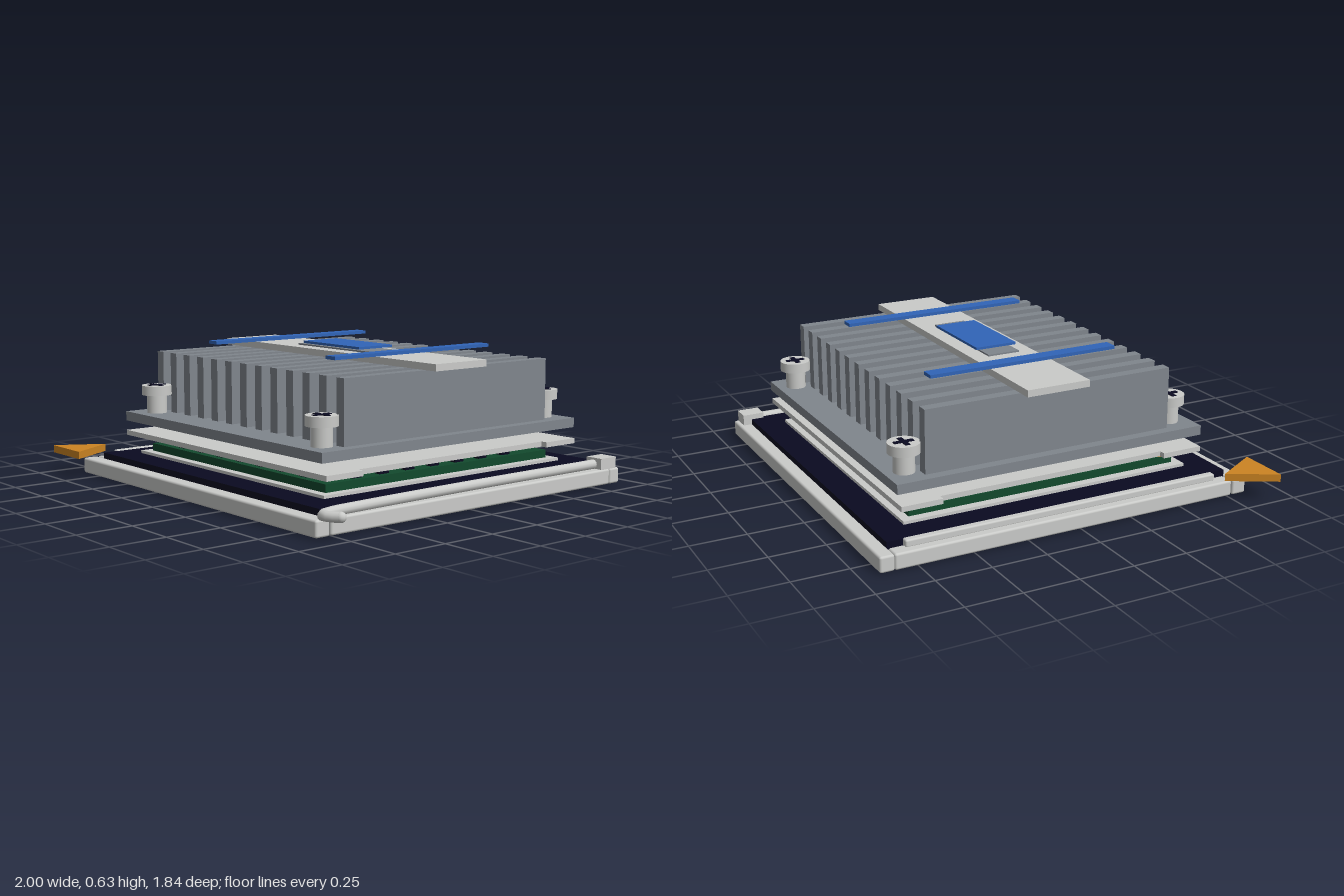
import * as THREE from 'three';
import { RoundedBoxGeometry } from 'three/addons/geometries/RoundedBoxGeometry.js';

const mat = (name, color) => Object.assign(new THREE.MeshStandardMaterial({ color }), { name });

export function createModel() {
  const metal = mat('light metal', 0xcacbc9);
  const grey = mat('heatsink grey', 0x80868d);
  const navy = mat('socket navy', 0x0a0a20);
  const green = mat('board green', 0x12492d);
  const orange = mat('marker orange', 0xcc8422);
  const blue = mat('label blue', 0x3165b8);

  const model = new THREE.Group();
  const add = (name, geometry, material, x = 0, y = 0, z = 0, parent = model) => {
    const mesh = new THREE.Mesh(geometry, material);
    mesh.name = name;
    mesh.position.set(x, y, z);
    parent.add(mesh);
    return mesh;
  };
  // Box given by its limits on each axis
  const box = (name, material, x0, x1, y0, y1, z0, z1, radius = 0) => {
    const size = [x1 - x0, y1 - y0, z1 - z0];
    const geometry = radius ? new RoundedBoxGeometry(...size, 2, radius) : new THREE.BoxGeometry(...size);
    return add(name, geometry, material, (x0 + x1) / 2, (y0 + y1) / 2, (z0 + z1) / 2);
  };
  // Flat triangle pointing to the back
  const triangle = (name, x0, x1, zFront, zBack, y, thickness) => {
    const shape = new THREE.Shape();
    shape.moveTo(x0, -zFront);
    shape.lineTo(x1, -zFront);
    shape.lineTo((x0 + x1) / 2, -zBack);
    const geometry = new THREE.ExtrudeGeometry(shape, { depth: thickness, bevelEnabled: false });
    add(name, geometry.rotateX(-Math.PI / 2), orange, 0, y, 0);
  };

  // Socket and surrounding frame
  box('socketBase', navy, -0.79, 0.83, 0, 0.1, -0.86, 0.77);
  box('frameBack', metal, -0.86, 0.9, 0.004, 0.075, -0.92, -0.855, 0.01);
  box('frameFront', metal, -0.86, 0.9, 0.004, 0.075, 0.77, 0.84, 0.01);
  box('frameLeft', metal, 0.83, 0.9, 0.004, 0.075, -0.855, 0.765, 0.01);
  box('frameRight', metal, -0.86, -0.79, 0.004, 0.075, -0.855, 0.765, 0.01);
  box('hingeRail', metal, -0.82, -0.785, 0.07, 0.104, -0.79, 0.7, 0.008);

  // Locking lever
  box('leverPivot', metal, 0.81, 0.895, 0.07, 0.125, -0.9, -0.8);
  const leverPath = new THREE.CatmullRomCurve3([
    [0.848, 0.095, -0.82], [0.852, 0.095, 0], [0.864, 0.093, 0.6], [0.872, 0.092, 0.74],
    [0.9, 0.092, 0.808], [0.94, 0.092, 0.8], [0.975, 0.093, 0.78],
  ].map(p => new THREE.Vector3(...p)));
  add('leverRod', new THREE.TubeGeometry(leverPath, 64, 0.022, 12), metal);
  add('leverTip', new THREE.SphereGeometry(0.022, 12, 8), metal, 0.976, 0.093, 0.78);
  triangle('socketCornerMarker', -1, -0.76, 0.92, 0.71, 0.09, 0.034);

  // Processor package
  box('packageSeat', metal, -0.67, 0.7, 0.1, 0.113, -0.73, 0.64);
  box('circuitBoard', green, -0.63, 0.66, 0.113, 0.148, -0.69, 0.6);
  box('heatSpreader', grey, -0.54, 0.58, 0.148, 0.184, -0.6, 0.51);
  triangle('packageCornerMarker', -0.64, -0.48, 0.555, 0.415, 0.148, 0.018);
  for (let i = 0; i < 7; i++) {
    const x = -0.43 + i * 0.15, z = 0.41 - i * 0.144;
    for (const cz of [-0.645, 0.555]) {
      add('capacitor', new THREE.BoxGeometry(0.05, 0.014, 0.03), navy, x, 0.155, cz);
    }
    for (const cx of [-0.585, 0.62]) {
      add('capacitor', new THREE.BoxGeometry(0.03, 0.014, 0.05), navy, cx, 0.155, z);
    }
  }

  // Retention bracket with tabs at the corners
  box('bracketFront', metal, -0.73, 0.765, 0.184, 0.207, 0.49, 0.68);
  box('bracketBack', metal, -0.73, 0.765, 0.184, 0.207, -0.765, -0.58);
  box('bracketPlate', metal, -0.7, 0.735, 0.184, 0.207, -0.58, 0.49);
  box('lowerContactPlate', metal, -0.475, 0.51, 0.207, 0.23, -0.53, 0.45);
  box('upperContactPlate', metal, -0.493, 0.527, 0.23, 0.255, -0.55, 0.47);

  // Heatsink
  box('heatsinkBase', grey, -0.715, 0.75, 0.255, 0.298, -0.775, 0.69);
  for (let i = 0; i < 13; i++) {
    const x = -0.645 + i * 0.1104;
    box('fin', grey, x - 0.024, x + 0.024, 0.298, 0.575, -0.63, 0.54);
  }

  // Strap and labels on top
  box('strap', metal, -0.73, 0.765, 0.575, 0.605, -0.195, 0.1);
  box('strapPad', grey, -0.25, 0.285, 0.605, 0.612, -0.12, 0.03);
  box('centreLabel', blue, -0.183, 0.215, 0.619, 0.63, -0.145, 0.05);
  box('rightStripe', blue, -0.445, -0.382, 0.618, 0.633, -0.495, 0.402);
  box('leftStripe', blue, 0.415, 0.477, 0.618, 0.633, -0.495, 0.402);

  // Corner screws with cross slots
  for (const x of [-0.595, 0.63]) {
    for (const z of [-0.69, 0.595]) {
      const screw = new THREE.Group();
      screw.name = 'screw';
      screw.position.set(x, 0, z);
      model.add(screw);
      add('screwShaft', new THREE.CylinderGeometry(0.046, 0.046, 0.09, 24), metal, 0, 0.341, 0, screw);
      add('screwHead', new THREE.CylinderGeometry(0.069, 0.069, 0.044, 32), metal, 0, 0.404, 0, screw);
      add('screwSlot', new THREE.BoxGeometry(0.088, 0.006, 0.022), navy, 0, 0.426, 0, screw);
      add('screwSlot', new THREE.BoxGeometry(0.022, 0.006, 0.088), navy, 0, 0.4262, 0, screw);
    }
  }
  return model;
}
